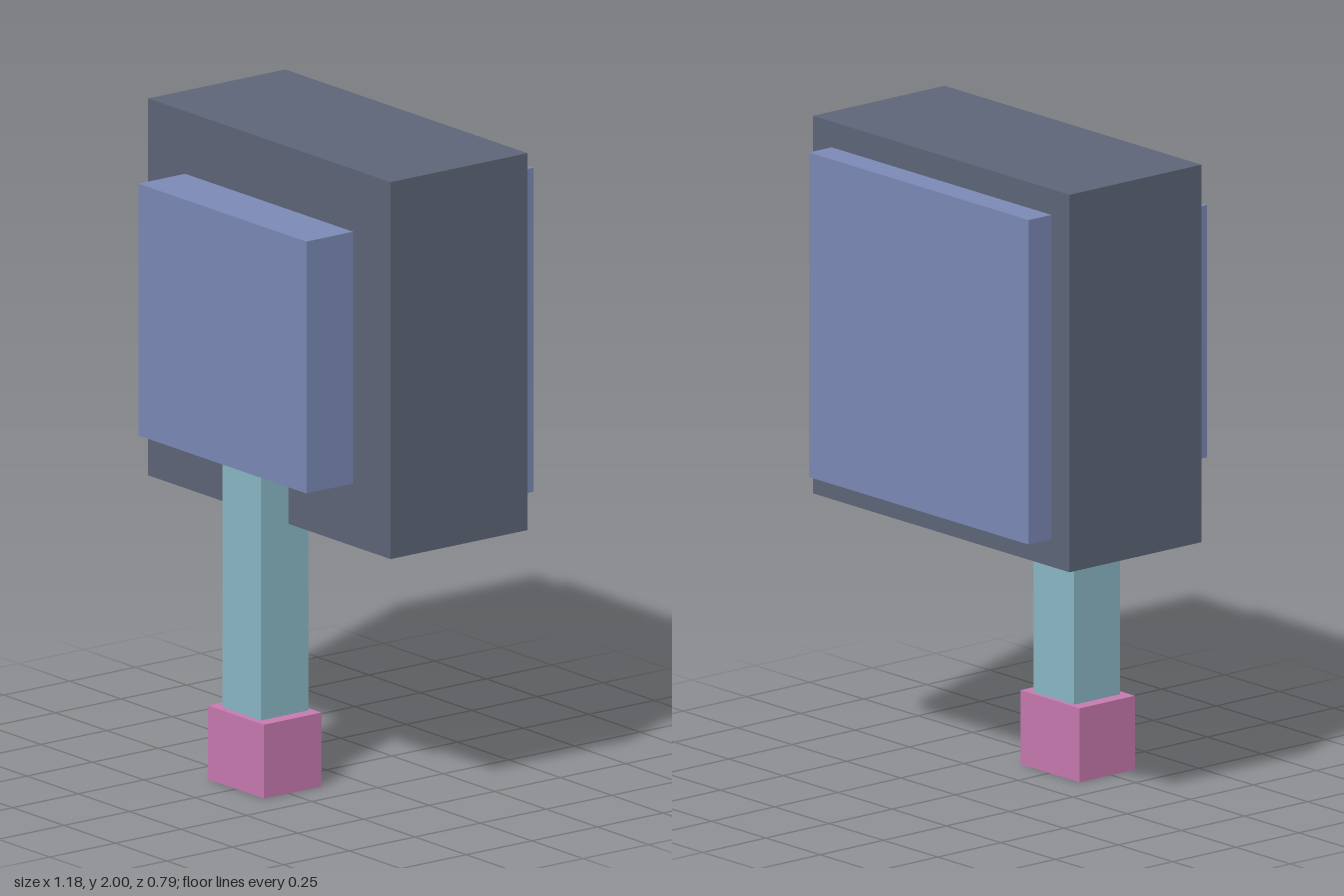
import * as THREE from 'three';

const material = (name, color) => {
  const m = new THREE.MeshStandardMaterial({ color });
  m.name = name;
  return m;
};

// Box given by its extents along each axis
function block(name, mat, [x0, x1], [y0, y1], [z0, z1]) {
  const mesh = new THREE.Mesh(new THREE.BoxGeometry(x1 - x0, y1 - y0, z1 - z0), mat);
  mesh.position.set((x0 + x1) / 2, (y0 + y1) / 2, (z0 + z1) / 2);
  mesh.name = name;
  return mesh;
}

export function createModel() {
  const slate = material('slate', 0x5f677a);
  const blue = material('periwinkle blue', 0x7d8bb8);
  const teal = material('pale teal', 0x8cbac9);
  const pink = material('orchid pink', 0xca7bb2);

  const model = new THREE.Group();
  model.name = 'blockSign';
  model.add(
    // Main housing with a raised panel on each face
    block('housing', slate, [-0.59, 0.59], [0.825, 2], [-0.305, 0.217]),
    block('frontPanel', blue, [-0.41, 0.407], [1.02, 1.805], [0.217, 0.395]),
    block('backPanel', blue, [-0.506, 0.504], [0.91, 1.92], [-0.395, -0.305]),
    // Post running up to the front panel, on a small foot
    block('post', teal, [-0.095, 0.092], [0.23, 1.02], [0.14, 0.322]),
    block('foot', pink, [-0.137, 0.135], [0, 0.23], [0.125, 0.344]),
  );
  return model;
}
